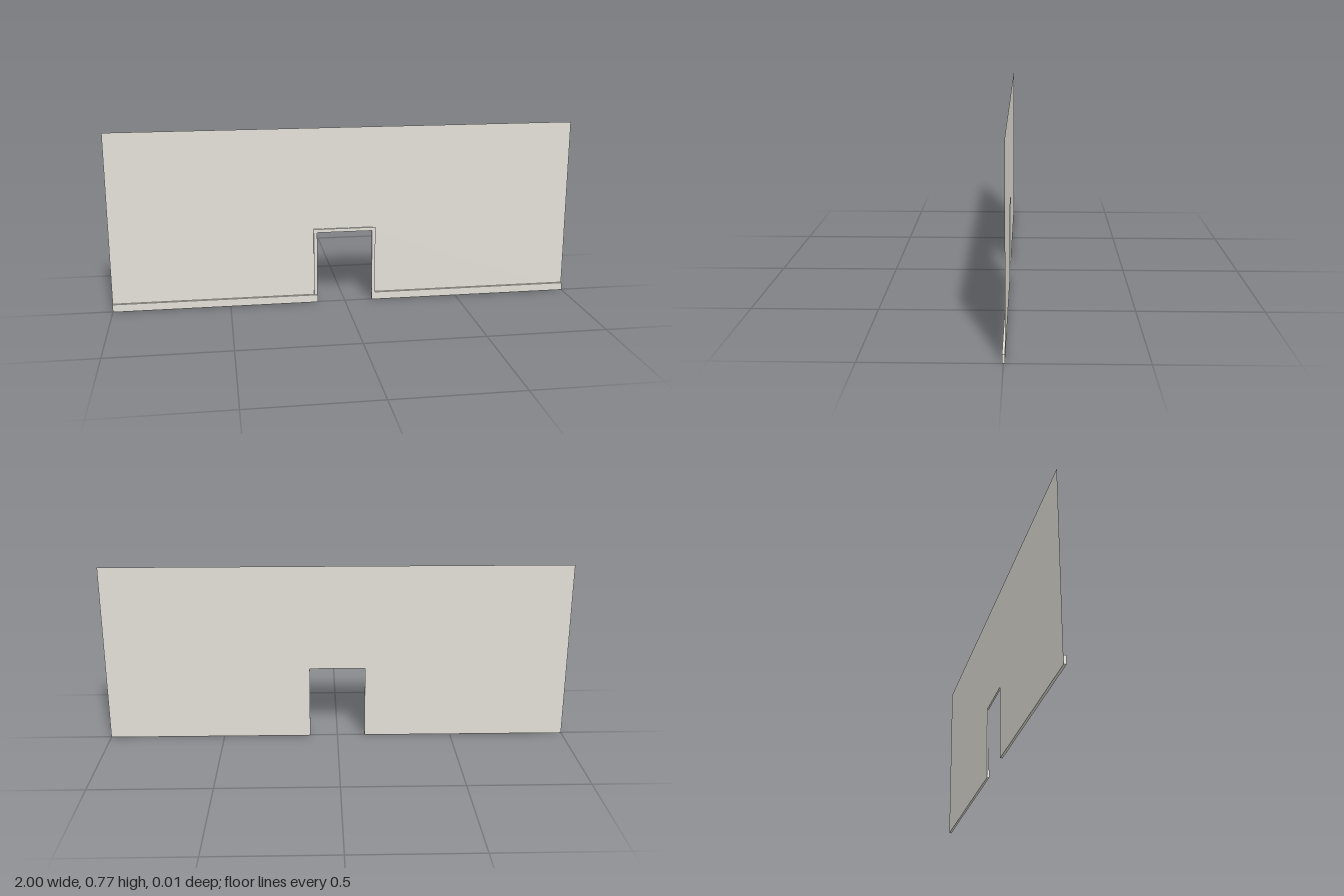
import * as THREE from 'three';

const HALF = 1, TOP = 0.771, DOOR = 0.12, DOOR_TOP = 0.315;
const TRIM = 0.015, BACK = -0.005, FRONT = 0.005;

// Upside-down U outline: an outer rectangle with a doorway cut up from the floor
function archShape(halfWidth, top) {
  return new THREE.Shape([
    [-halfWidth, 0], [-DOOR, 0], [-DOOR, DOOR_TOP], [DOOR, DOOR_TOP],
    [DOOR, 0], [halfWidth, 0], [halfWidth, top], [-halfWidth, top],
  ].map(([x, y]) => new THREE.Vector2(x, y)));
}

export function createModel() {
  const group = new THREE.Group();
  const plaster = new THREE.MeshStandardMaterial({ color: 0xe3e0d7, side: THREE.DoubleSide });
  plaster.name = 'pale warm plaster';

  function add(name, geometry, x, y, z) {
    const mesh = new THREE.Mesh(geometry, plaster);
    mesh.name = name;
    mesh.position.set(x, y, z);
    group.add(mesh);
  }

  // Paper-thin wall panel with doorway
  add('wall', new THREE.ShapeGeometry(archShape(HALF, TOP)), 0, 0, BACK);

  // Raised trim around the doorway
  const trim = new THREE.ExtrudeGeometry(archShape(DOOR + TRIM, DOOR_TOP + TRIM),
    { depth: 0.007, bevelEnabled: false });
  add('doorTrim', trim, 0, 0, BACK);

  // Baseboards on both sides of the doorway
  const height = 0.033, length = HALF - DOOR;
  for (const side of [-1, 1]) {
    add(side > 0 ? 'leftBaseboard' : 'rightBaseboard',
      new THREE.BoxGeometry(length, height, FRONT - BACK),
      side * (DOOR + length / 2), height / 2, 0);
  }
  return group;
}
